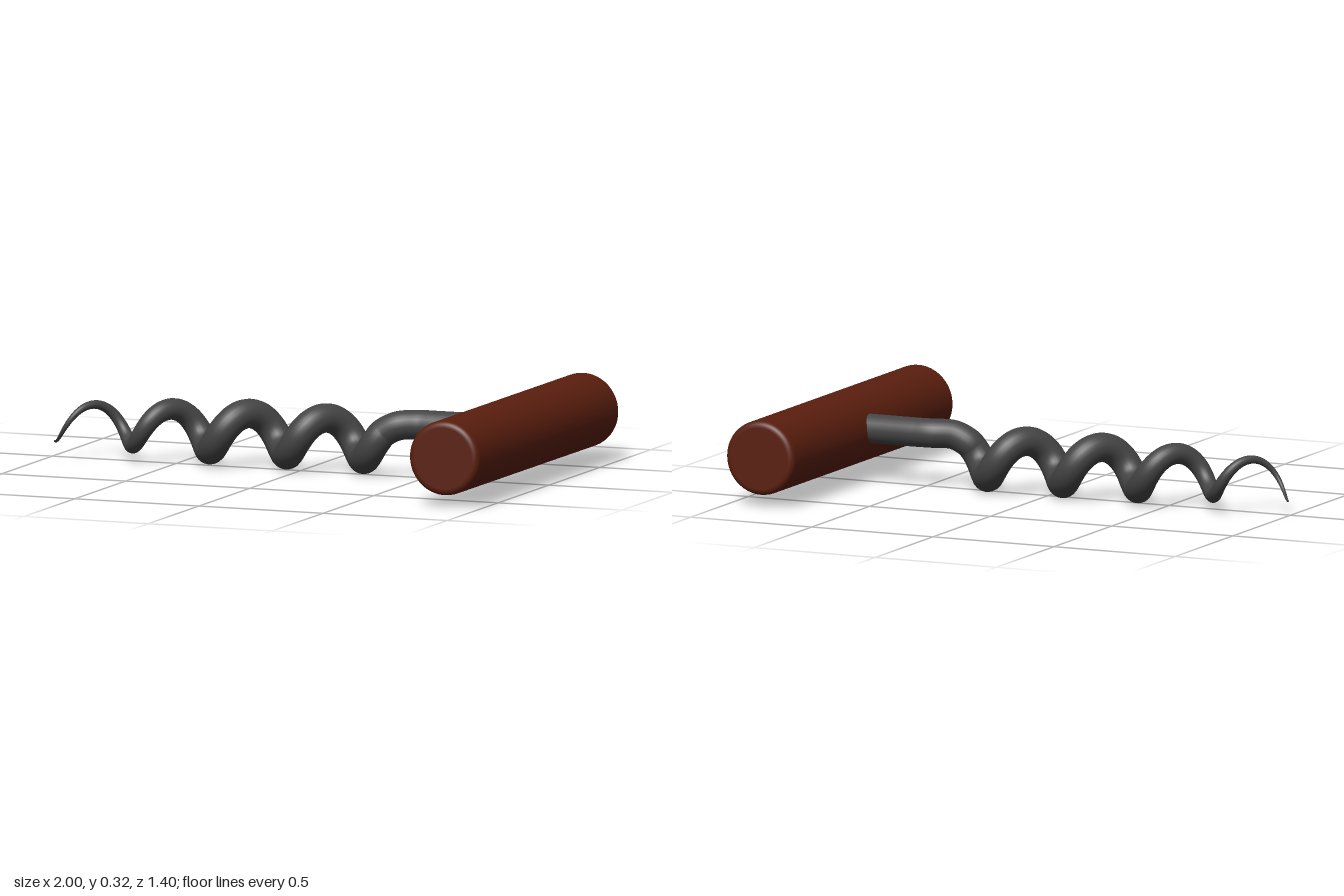
import * as THREE from 'three';

const HANDLE_X = 0.86, HANDLE_Y = 0.185, HANDLE_R = 0.14, HANDLE_HALF = 0.7;
const WIRE_R = 0.055, COIL_R = 0.073, PITCH = 0.3105;
const TAPER_END = -0.34; // wire is full thickness from here to the handle

// Round bar with softened rims, lying along z
function createHandle(material) {
  const rim = 0.022, profile = [[0, -HANDLE_HALF], [HANDLE_R - rim - 0.002, -HANDLE_HALF]];
  for (const end of [-1, 1]) {
    for (let i = 0; i <= 6; i++) {
      const a = (end < 0 ? i : 6 - i) / 6 * Math.PI / 2;
      profile.push([
        HANDLE_R - rim + rim * Math.sin(a),
        end * (HANDLE_HALF - rim + rim * Math.cos(a)),
      ]);
    }
    const y = HANDLE_HALF - rim - 0.002;
    if (end < 0) profile.push([HANDLE_R, -y], [HANDLE_R, y]);
  }
  profile.push([HANDLE_R - rim - 0.002, HANDLE_HALF], [0, HANDLE_HALF]);
  const geometry = new THREE.LatheGeometry(profile.map(([r, y]) => new THREE.Vector2(r, y)), 48);
  geometry.rotateX(Math.PI / 2);
  const handle = new THREE.Mesh(geometry, material);
  handle.position.set(HANDLE_X, HANDLE_Y, 0);
  handle.name = 'handle';
  return handle;
}

// Centre line: spiral from the tip, then an easy bend into the straight shaft
function wirePath() {
  const points = [], steps = 100;
  for (let i = 0; i <= steps; i++) {
    const x = -1 + 1.35 * i / steps;
    const a = 2 * Math.PI * (x - 0.09) / PITCH;
    points.push(new THREE.Vector3(
      x, 0.128 + COIL_R * Math.cos(a), -0.015 - COIL_R * Math.sin(a)));
  }
  for (const p of [[0.405, 0.195, 0.034], [0.48, 0.2, 0.004], [0.54, 0.2, 0], [0.66, 0.2, 0], [0.8, 0.2, 0]]) {
    points.push(new THREE.Vector3(...p));
  }
  return new THREE.CatmullRomCurve3(points);
}

// Tube along the path, each ring pulled in toward the sharp tip
function createSpiral(material) {
  const path = wirePath(), rings = 400, sides = 24;
  path.arcLengthDivisions = 1500;
  const geometry = new THREE.TubeGeometry(path, rings, WIRE_R, sides);
  const position = geometry.attributes.position, v = new THREE.Vector3();
  for (let i = 0; i <= rings; i++) {
    const centre = path.getPointAt(i / rings);
    const t = THREE.MathUtils.clamp((centre.x + 1) / (TAPER_END + 1), 0, 1);
    const scale = i === 0 ? 0 : 0.06 + 0.94 * t;
    for (let j = 0; j <= sides; j++) {
      const k = i * (sides + 1) + j;
      v.fromBufferAttribute(position, k).sub(centre).multiplyScalar(scale).add(centre);
      position.setXYZ(k, v.x, v.y, v.z);
    }
  }
  const spiral = new THREE.Mesh(geometry, material);
  spiral.name = 'spiralAndShaft';
  return spiral;
}

export function createModel() {
  const wood = new THREE.MeshStandardMaterial({ color: 0x5a1e0e });
  const steel = new THREE.MeshStandardMaterial({ color: 0x444444 });
  const model = new THREE.Group();
  model.name = 'corkscrew';
  model.add(createHandle(wood), createSpiral(steel));
  return model;
}
